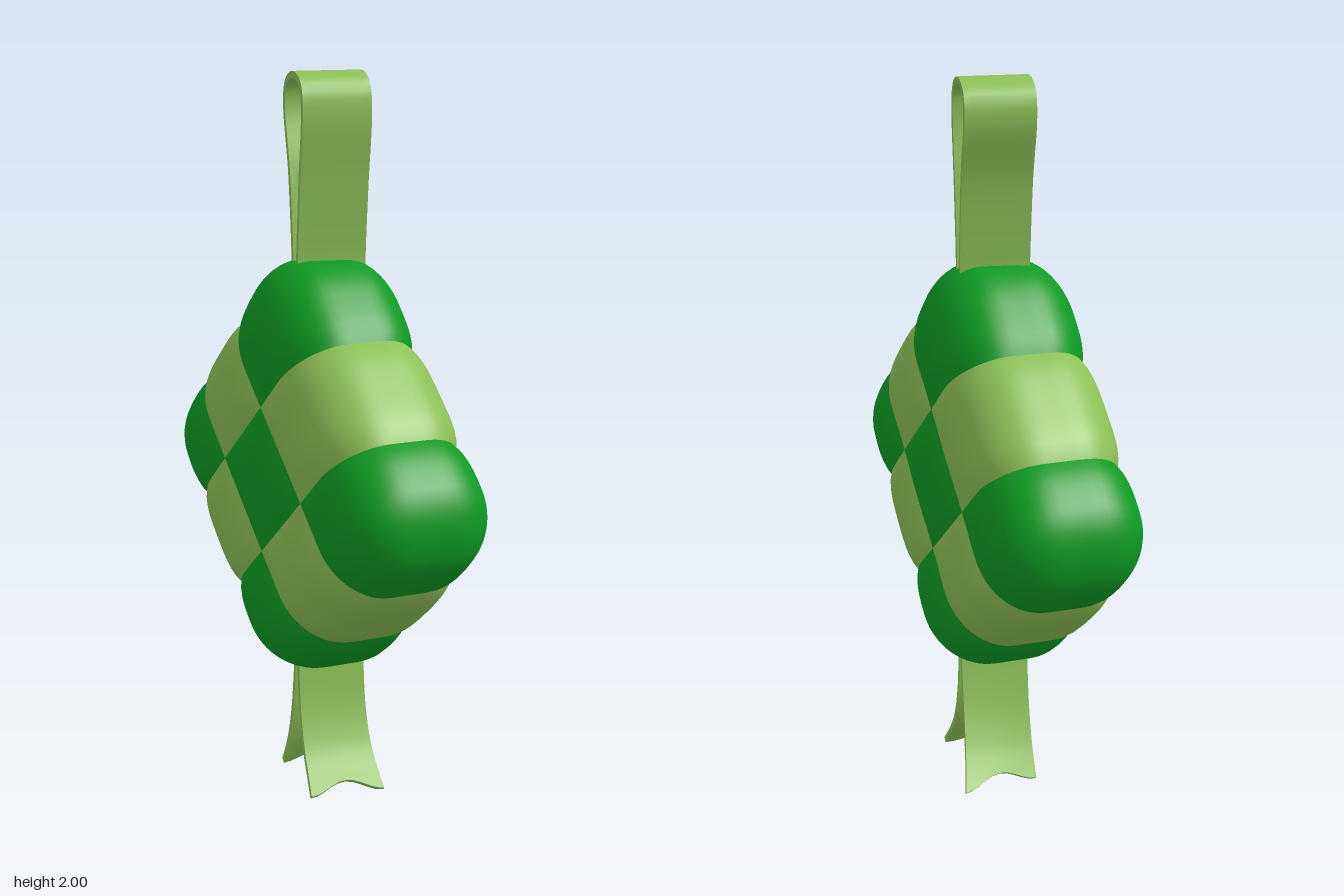
import * as THREE from 'three';
import { mergeVertices } from 'three/addons/utils/BufferGeometryUtils.js';

const darkLeaf = new THREE.MeshStandardMaterial({ color: 0x0f9a24 });
darkLeaf.name = 'dark leaf green';
const lightLeaf = new THREE.MeshStandardMaterial({ color: 0x8cc057 });
lightLeaf.name = 'light leaf green';

const { clamp } = THREE.MathUtils;

// Rounded cushion, three woven cells by three, standing on one corner
function pouchGeometry() {
  const H = 0.19, RX = 0.14, R = 0.55, E = 1.5;
  let geo = new THREE.BoxGeometry(2, 2 * E, 2 * E, 16, 36, 36);
  geo.deleteAttribute('normal');
  geo.deleteAttribute('uv');
  geo = mergeVertices(geo);
  const pos = geo.attributes.position;
  const flat = []; // grid coordinates kept for colouring
  // Swell of one cell: zero at the seams, full in the middle and out to the rim
  const swell = (a) => (Math.abs(a) > 1 ? 1 : 1 - Math.abs(2 * (a - Math.round(a))) ** 4);
  for (let i = 0; i < pos.count; i++) {
    const x = pos.getX(i) * H, u = pos.getY(i), v = pos.getZ(i);
    flat.push([u, v]);
    const core = new THREE.Vector3(
      clamp(x, RX - H, H - RX), clamp(u, R - E, E - R), clamp(v, R - E, E - R));
    const n = new THREE.Vector3((x - core.x) / RX, (u - core.y) / R, (v - core.z) / R).normalize();
    const puff = 0.02 * swell(u) * swell(v);
    const px = core.x + n.x * (RX + puff);
    const pu = core.y + n.y * (R + puff * 3);
    const pv = core.z + n.z * (R + puff * 3);
    let y = (pu + pv) * 0.203, z = (pv - pu) * 0.262;
    y *= 1 + (y > 0 ? 0.065 : -0.025) * (y / 0.56) ** 4;
    z *= 1 - 0.085 * (z / 0.72) ** 4;
    pos.setXYZ(i, px, y, z);
  }
  return { geo, flat };
}

// Cut the cushion into nine cells, each one colour, with a crease at the seams
function buildPouch() {
  const pouch = new THREE.Group();
  pouch.name = 'wovenPouch';
  const { geo, flat } = pouchGeometry();
  const index = geo.index.array;
  const cellOf = (a) => clamp(Math.round(a), -1, 1);
  for (let i = -1; i <= 1; i++) {
    for (let j = -1; j <= 1; j++) {
      const part = [];
      for (let k = 0; k < index.length; k += 3) {
        const t = [index[k], index[k + 1], index[k + 2]];
        const u = t.reduce((s, q) => s + flat[q][0], 0) / 3;
        const v = t.reduce((s, q) => s + flat[q][1], 0) / 3;
        if (cellOf(u) === i && cellOf(v) === j) part.push(...t);
      }
      const whole = new THREE.BufferGeometry();
      whole.setAttribute('position', geo.attributes.position);
      whole.setIndex(part);
      const cell = mergeVertices(whole.toNonIndexed());
      cell.computeVertexNormals();
      const mesh = new THREE.Mesh(cell, (i + j) % 2 === 0 ? darkLeaf : lightLeaf);
      mesh.name = `wovenCell_${i + 2}_${j + 2}`;
      pouch.add(mesh);
    }
  }
  pouch.position.set(0.01, 0.905, 0);
  pouch.rotation.y = 0.13;
  return pouch;
}

// Flat strip bent along a [z, y] path, optionally flared, twisted and notched at its end
function ribbon(name, points, { flare = 0, twist = 0, notch = 0, rows = 30 } = {}) {
  const curve = new THREE.CatmullRomCurve3(points.map(([z, y]) => new THREE.Vector3(0, y, z)));
  const geo = new THREE.BoxGeometry(1, 0.018, 1, 10, 1, rows);
  const pos = geo.attributes.position;
  const side = new THREE.Vector3(1, 0, 0);
  for (let i = 0; i < pos.count; i++) {
    const s = pos.getX(i) * 2;
    const t = clamp(pos.getZ(i) + 0.5, 0, 1);
    const dip = notch * t ** 3 * (0.5 + 0.5 * Math.cos(s * Math.PI));
    const tt = clamp(t - dip, 0, 1);
    const p = curve.getPointAt(tt);
    const n = curve.getTangentAt(tt).cross(side).normalize();
    p.addScaledVector(n, pos.getY(i));
    const half = 0.095 + flare * t ** 4;
    pos.setXYZ(i, 0.023 + flare * 0.6 * t ** 4 + s * half, p.y, p.z + twist * s * t * t);
  }
  geo.computeVertexNormals();
  const mesh = new THREE.Mesh(geo, lightLeaf);
  mesh.name = name;
  return mesh;
}

export function createModel() {
  const model = new THREE.Group();
  model.name = 'wovenRicePouch';
  model.add(buildPouch());

  // Hanging loop
  model.add(ribbon('hangingLoop', [
    [0.016, 1.44], [0.02, 1.52], [0.043, 1.72], [0.067, 1.89], [0.056, 1.96], [0.015, 1.988],
    [-0.045, 1.988], [-0.09, 1.96], [-0.099, 1.9], [-0.056, 1.74], [-0.026, 1.52], [-0.02, 1.44],
  ], { rows: 64 }));

  // Two trailing tails with notched ends
  model.add(ribbon('frontTail', [
    [0.012, 0.42], [0.018, 0.35], [0.035, 0.23], [0.075, 0.12], [0.125, 0.05], [0.155, 0.012],
  ], { flare: 0.012, notch: 0.08 }));
  model.add(ribbon('backTail', [
    [-0.008, 0.42], [-0.015, 0.35], [-0.045, 0.21], [-0.085, 0.11], [-0.125, 0.045], [-0.15, 0.01],
  ], { flare: 0.012, twist: -0.025, notch: 0.08 }));

  return model;
}
